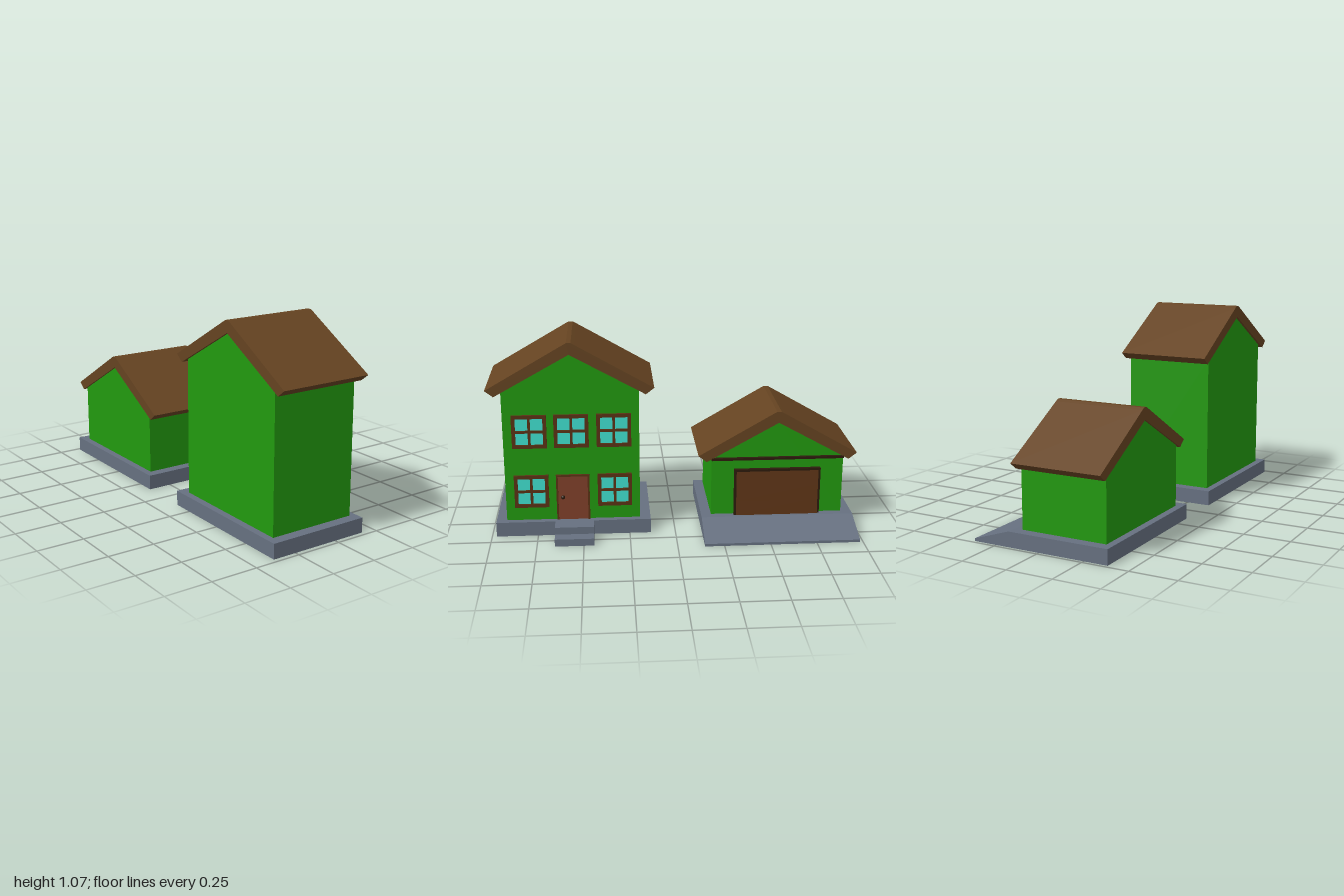
import * as THREE from 'three';

const mat = (color, side = THREE.FrontSide) => new THREE.MeshStandardMaterial({ color, side });
const wallMat = mat(0x22990f, THREE.DoubleSide);
const stoneMat = mat(0x667080, THREE.DoubleSide);
const roofMat = mat(0x654321);
const trimMat = mat(0x5a3214);
const darkMat = mat(0x2c1a0c);
const doorMat = mat(0x80402a);
const glassMat = mat(0x40e0d0);

function add(group, name, geometry, material) {
  const mesh = new THREE.Mesh(geometry, material);
  mesh.name = name;
  group.add(mesh);
  return mesh;
}

const box = (x0, x1, y0, y1, z0, z1) =>
  new THREE.BoxGeometry(x1 - x0, y1 - y0, z1 - z0)
    .translate((x0 + x1) / 2, (y0 + y1) / 2, (z0 + z1) / 2);

const polygon = (points) => new THREE.Shape(points.map(([a, b]) => new THREE.Vector2(a, b)));
const rect = (a0, a1, b0, b1) => polygon([[a0, b0], [a1, b0], [a1, b1], [a0, b1]]);

// Extrudes a (z, y) outline from x0 to x1
const extrudeX = (shape, x0, x1) =>
  new THREE.ExtrudeGeometry(shape, { depth: x1 - x0, bevelEnabled: false })
    .rotateY(-Math.PI / 2).translate(x1, 0, 0);

// Flat-shaded surface from a list of four-cornered faces
function quads(list) {
  const positions = list.flatMap(([a, b, c, d]) => [a, b, c, a, c, d].flat());
  const geometry = new THREE.BufferGeometry();
  geometry.setAttribute('position', new THREE.Float32BufferAttribute(positions, 3));
  geometry.computeVertexNormals();
  return geometry;
}

// Bottomless shell: an (x, y) profile swept from z0 to z1, closed at both sides
function shell(group, name, profile, z0, z1) {
  const strips = [];
  for (let i = 0; i < profile.length - 1; i++) {
    const [xa, ya] = profile[i], [xb, yb] = profile[i + 1];
    strips.push([[xa, ya, z0], [xa, ya, z1], [xb, yb, z1], [xb, yb, z0]]);
  }
  add(group, name, quads(strips), stoneMat);
  const outline = polygon([[profile[0][0], 0], ...profile]);
  add(group, name + 'LeftSide', new THREE.ShapeGeometry(outline).translate(0, 0, z1), stoneMat);
  add(group, name + 'RightSide', new THREE.ShapeGeometry(outline).rotateY(Math.PI)
    .scale(-1, 1, 1).translate(0, 0, z0), stoneMat);
}

// Hollow plinth, walls and gable roof shared by both buildings
function buildShell({ name, z, half, wallX, eave, peak, roofX, roofHalf, plinth }) {
  const group = new THREE.Group();
  group.name = name;
  const [x0, x1] = wallX, [px0, px1] = [-0.38, 0.175], y = 0.08;
  const [pz0, pz1] = plinth, z0 = z - half, z1 = z + half;

  // Plinth skirt and the ledge around the walls
  const corners = [[px0, pz0], [px0, pz1], [px1, pz1], [px1, pz0]];
  const inner = [[x0, z0], [x0, z1], [x1, z1], [x1, z0]];
  const faces = corners.flatMap(([ax, az], i) => {
    const j = (i + 1) % 4, [bx, bz] = corners[j];
    return [
      [[ax, 0, az], [bx, 0, bz], [bx, y, bz], [ax, y, az]],
      [[ax, y, az], [bx, y, bz], [inner[j][0], y, inner[j][1]], [inner[i][0], y, inner[i][1]]],
    ];
  });
  add(group, 'plinth', quads(faces), stoneMat);

  // Side walls
  add(group, 'sideWalls', quads([
    [[x0, y, z1], [x1, y, z1], [x1, eave, z1], [x0, eave, z1]],
    [[x1, y, z0], [x0, y, z0], [x0, eave, z0], [x1, eave, z0]],
  ]), wallMat);

  // Gable walls
  const gable = polygon([[z0, y], [z1, y], [z1, eave], [z, peak], [z0, eave]]);
  add(group, 'doorWall', new THREE.ShapeGeometry(gable).rotateY(-Math.PI / 2).scale(-1, 1, 1)
    .translate(x1, 0, 0), wallMat);
  add(group, 'backWall', new THREE.ShapeGeometry(gable).rotateY(-Math.PI / 2)
    .translate(x0, 0, 0), wallMat);
  for (const mesh of group.children.slice(-2)) orient(mesh.geometry, mesh.name === 'doorWall' ? 1 : -1);

  // Roof: bent slab with a softened ridge and square-cut eaves
  const low = peak - 0.555 * (roofHalf - 0.045), lip = low + 0.035;
  const roof = polygon([
    [z - roofHalf, lip], [z - roofHalf + 0.045, low], [z, peak], [z + roofHalf - 0.045, low],
    [z + roofHalf, lip], [z + 0.03, peak + 0.052], [z + 0.012, peak + 0.062],
    [z - 0.012, peak + 0.062], [z - 0.03, peak + 0.052],
  ]);
  add(group, 'roof', extrudeX(roof, ...roofX), roofMat);
  return group;
}

// Winds a flat wall so that its front looks along +x or -x
function orient(geometry, sign) {
  const p = geometry.attributes.position, idx = geometry.index;
  const v = [0, 1, 2].map((i) => new THREE.Vector3().fromBufferAttribute(p, idx.getX(i)));
  const nx = v[1].sub(v[0]).cross(v[2].sub(v[0])).x;
  if (nx * sign < 0) idx.array.reverse();
  geometry.computeVertexNormals();
}

// Four-pane window
function addWindow(group, x, z, y) {
  const win = new THREE.Group();
  win.name = 'window';
  const h = 0.0925, bar = 0.007, pane = 0.073;
  const frame = rect(z - h, z + h, y - h, y + h);
  for (const a of [[-pane, -bar], [bar, pane]])
    for (const b of [[-pane, -bar], [bar, pane]])
      frame.holes.push(rect(z + a[0], z + a[1], y + b[0], y + b[1]));
  add(win, 'windowFrame', extrudeX(frame, x, x + 0.012), trimMat);
  add(win, 'glass', box(x, x + 0.004, y - 0.08, y + 0.08, z - 0.08, z + 0.08), glassMat);
  group.add(win);
}

// U-shaped surround of a doorway
function doorway(z0, z1, y0, y1, t) {
  return polygon([[z0, y0], [z0 + t, y0], [z0 + t, y1 - t], [z1 - t, y1 - t],
    [z1 - t, y0], [z1, y0], [z1, y1], [z0, y1]]);
}

export function createModel() {
  const model = new THREE.Group();
  model.name = 'houseAndGarage';

  // House
  const house = buildShell({
    name: 'house', z: 0.555, half: 0.363, wallX: [-0.342, 0.14], eave: 0.806, peak: 1.008,
    roofX: [-0.355, 0.153], roofHalf: 0.445, plinth: [0.135, 0.975],
  });
  for (const z of [0.778, 0.555, 0.328]) addWindow(house, 0.14, z, 0.588);
  for (const z of [0.778, 0.328]) addWindow(house, 0.14, z, 0.248);
  add(house, 'doorFrame', extrudeX(doorway(0.465, 0.645, 0.08, 0.34, 0.01), 0.14, 0.152), trimMat);
  add(house, 'door', box(0.138, 0.147, 0.08, 0.332, 0.473, 0.637), doorMat);
  add(house, 'doorKnob', new THREE.SphereGeometry(0.011, 12, 8).translate(0.153, 0.212, 0.61), darkMat);
  shell(house, 'steps', [[0.175, 0.08], [0.26, 0.08], [0.26, 0.04], [0.325, 0.04], [0.325, 0]], 0.445, 0.655);
  model.add(house);

  // Garage
  const garage = buildShell({
    name: 'garage', z: -0.563, half: 0.363, wallX: [-0.342, 0.13], eave: 0.406, peak: 0.608,
    roofX: [-0.352, 0.143], roofHalf: 0.435, plinth: [-0.983, -0.145],
  });
  add(garage, 'beam', box(0.128, 0.148, 0.398, 0.411, -0.926, -0.2), darkMat);
  add(garage, 'garageDoorFrame', extrudeX(doorway(-0.8, -0.325, 0.08, 0.345, 0.012), 0.13, 0.152), darkMat);

  // Garage door: three lapped slats leaning outwards at the foot
  for (let i = 0; i < 3; i++) {
    const slat = add(garage, 'garageDoorSlat', new THREE.BoxGeometry(0.007, 0.088, 0.45), trimMat);
    slat.position.set(0.15 + (2 - i) * 0.003, 0.126 + i * 0.083, -0.563);
    slat.rotation.z = 0.13;
  }
  add(garage, 'garageDoorBacking', box(0.128, 0.142, 0.082, 0.335, -0.79, -0.335), trimMat);
  shell(garage, 'driveway', [[0.175, 0.08], [0.378, 0.014], [0.378, 0]], -0.983, -0.145);
  model.add(garage);

  return model;
}
